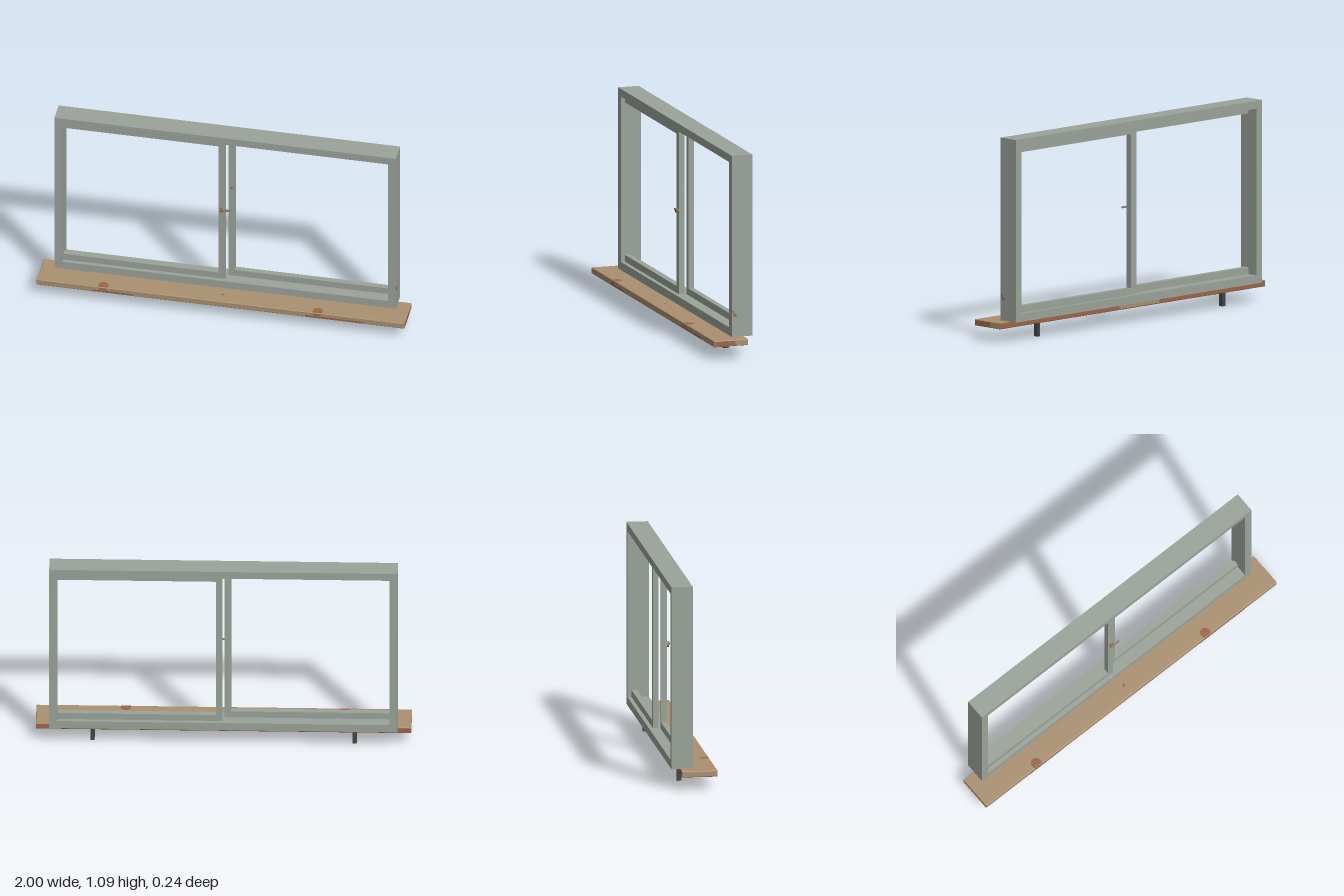
import * as THREE from 'three';
import { RoundedBoxGeometry } from 'three/addons/geometries/RoundedBoxGeometry.js';

const mat = (name, color) => new THREE.MeshStandardMaterial({ name, color });

export function createModel() {
  const paint = mat('greyGreenPaint', 0x9ba39a);
  const tan = mat('tanSill', 0xaa9070);
  const rust = mat('bareBrown', 0x9a6649);
  const iron = mat('darkIron', 0x444446);
  const brass = mat('wornMetal', 0x8c7f6a);

  const model = new THREE.Group();
  model.name = 'slidingWindow';

  const add = (name, geometry, material, parent = model) => {
    const mesh = new THREE.Mesh(geometry, material);
    mesh.name = name;
    parent.add(mesh);
    return mesh;
  };
  // Box given by its minimum and maximum corners
  const box = (name, a, b, material, parent) => {
    const s = b.map((v, i) => v - a[i]);
    const mesh = add(name, new THREE.BoxGeometry(...s), material, parent);
    mesh.position.set(...a.map((v, i) => v + s[i] / 2));
    return mesh;
  };

  // Outer frame: rectangle with one large opening
  const rect = (P, x, y0, y1) => {
    const p = new P();
    p.moveTo(-x, y0).lineTo(x, y0).lineTo(x, y1).lineTo(-x, y1).closePath();
    return p;
  };
  const outline = rect(THREE.Shape, 0.928, 0.107, 1.093);
  outline.holes.push(rect(THREE.Path, 0.885, 0.151, 1.051));
  const frame = new THREE.ExtrudeGeometry(outline, { depth: 0.115, bevelEnabled: false });
  add('outerFrame', frame, paint).position.z = -0.12;

  // Two sashes on separate tracks, each with two rails and a meeting stile
  for (const [name, side, z0, z1] of [['leftSash', 1, -0.098, -0.067], ['rightSash', -1, -0.059, -0.028]]) {
    const sash = new THREE.Group();
    sash.name = name;
    model.add(sash);
    const span = (part, xa, xb, y0, y1) =>
      box(part, [Math.min(side * xa, side * xb), y0, z0], [Math.max(side * xa, side * xb), y1, z1], paint, sash);
    span('bottomRail', 0.04, 0.885, 0.151, 0.188);
    span('topRail', 0.04, 0.885, 1.018, 1.051);
    span('meetingStile', 0.005, 0.04, 0.151, 1.051);
  }

  // Window latch on the front sash
  const latch = new THREE.Group();
  latch.name = 'latch';
  latch.position.set(-0.022, 0.605, -0.028);
  model.add(latch);
  const pivot = add('latchPivot', new THREE.CylinderGeometry(0.012, 0.012, 0.014, 12), rust, latch);
  pivot.rotation.x = Math.PI / 2;
  pivot.position.z = 0.006;
  box('latchLever', [-0.012, 0.002, 0.01], [0.045, 0.011, 0.018], brass, latch);

  // Sill board: weathered top, bare underside and back
  const sill = add('sill', new RoundedBoxGeometry(2, 0.034, 0.193, 2, 0.004),
    [tan, tan, tan, rust, tan, rust]);
  sill.position.set(0, 0.09, 0.0235);

  // Worn patches on the sill
  box('endWear', [0.997, 0.077, 0], [1.0008, 0.103, 0.116], rust);
  box('backPaint', [-0.2, 0.079, -0.0738], [0.1, 0.102, -0.07], tan);
  for (const [x, width] of [[-0.59, 0.22], [0.62, 0.32]]) {
    box('frontWear', [x - width / 2, 0.077, 0.117], [x + width / 2, 0.087, 0.1207], rust);
  }
  for (const x of [-0.64, 0.525]) {
    const shape = new THREE.Shape();
    shape.moveTo(-0.027, -0.02).lineTo(0.027, -0.02).lineTo(0.027, 0);
    shape.absarc(0, 0, 0.027, 0, Math.PI, false);
    const patch = add('topWear', new THREE.ShapeGeometry(shape, 8), rust);
    patch.rotation.x = -Math.PI / 2;
    patch.position.set(x, 0.1078, 0.098);
    box('frontChip', [x - 0.02, 0.09, 0.117], [x + 0.02, 0.1, 0.1207], rust);
  }
  const knot = add('knot', new THREE.CircleGeometry(0.009, 8), rust);
  knot.rotation.x = -Math.PI / 2;
  knot.position.set(0, 0.1078, 0.055);

  // Chips in the frame paint
  box('jambChip', [0.926, 0.216, -0.032], [0.9288, 0.234, -0.014], rust);
  box('jambScratch', [0.926, 0.234, -0.018], [0.9288, 0.25, -0.009], rust);
  box('stileChip', [0.016, 0.718, -0.068], [0.028, 0.732, -0.0662], rust);

  // Support pegs under the sill
  for (const x of [-0.698, 0.698]) {
    box('supportPeg', [x - 0.011, 0, -0.062], [x + 0.011, 0.075, -0.036], iron);
  }
  return model;
}
